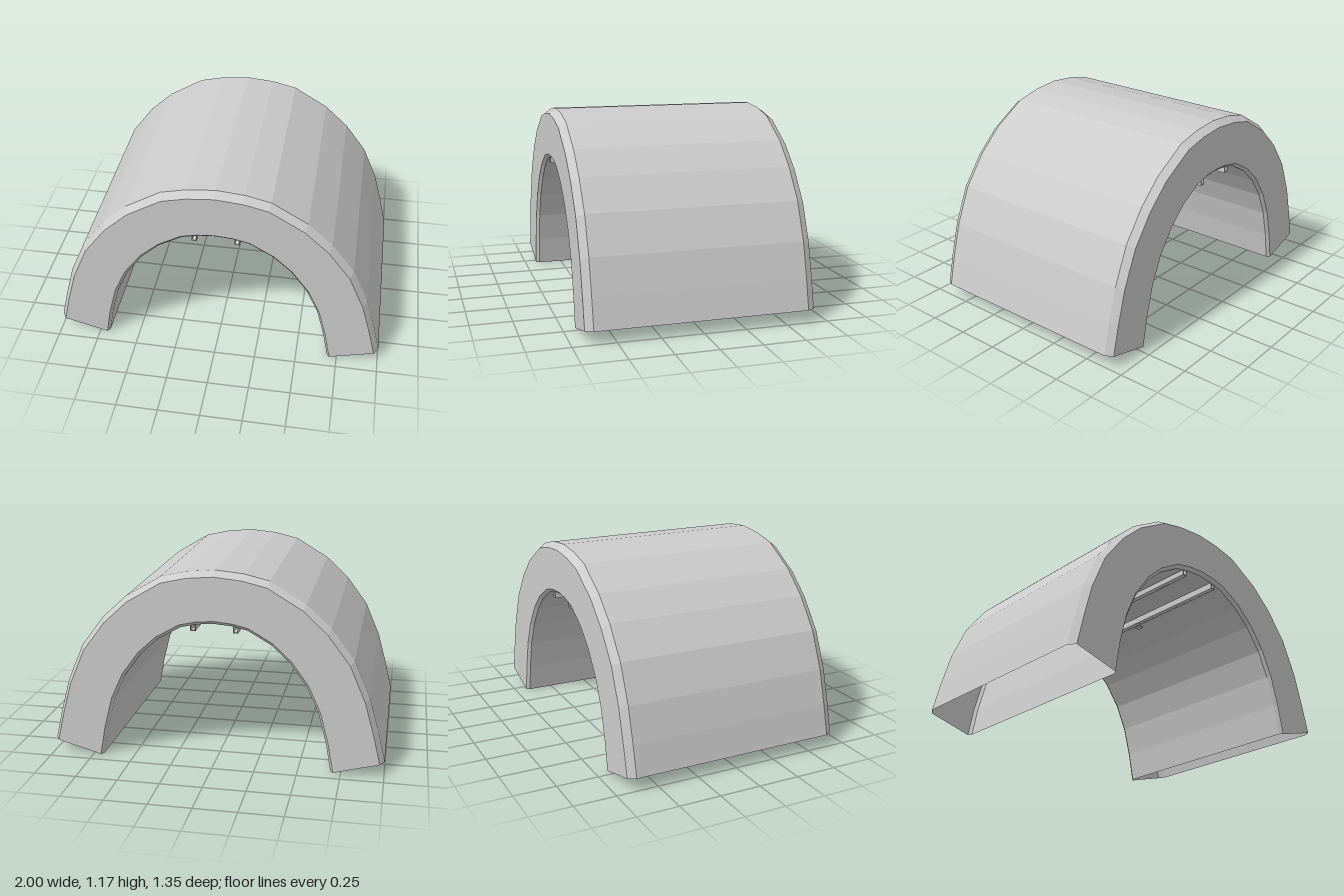
import * as THREE from 'three';

const material = new THREE.MeshStandardMaterial({ color: 0xcccccc, flatShading: true, side: THREE.DoubleSide });

// Half profiles from crown to foot, mirrored to a full arch
const mirror = (half) => [...half.slice().reverse(), ...half.slice(1).map(([x, y]) => [-x, y])];
const outer = mirror([[0, 1.17], [0.165, 1.155], [0.315, 1.12], [0.525, 0.995], [0.67, 0.86],
  [0.805, 0.68], [0.9, 0.46], [0.957, 0.255], [1, 0.075]]);
const inner = mirror([[0, 0.86], [0.1, 0.852], [0.197, 0.83], [0.335, 0.75], [0.44, 0.653],
  [0.54, 0.515], [0.61, 0.36], [0.657, 0.18], [0.69, 0]]);

// Hollow vault: one closed loop of arch sections, open at the feet
function vaultGeometry() {
  const sections = [
    [inner, 1, -0.655], [inner, 1.023, -0.675], [outer, 0.973, -0.675], [outer, 1, -0.63],
    [outer, 1, 0.63], [outer, 0.973, 0.675], [inner, 1.023, 0.675], [inner, 1, 0.655],
  ];
  const n = outer.length;
  const positions = [];
  const index = [];
  sections.forEach(([profile, scale, z], s) => {
    profile.forEach(([x, y]) => positions.push(x * scale, y * scale, z));
    const next = (s + 1) % sections.length;
    for (let i = 0; i < n - 1; i++) {
      const a = s * n + i, b = next * n + i;
      index.push(a, a + 1, b, b, a + 1, b + 1);
    }
  });
  const geometry = new THREE.BufferGeometry();
  geometry.setAttribute('position', new THREE.Float32BufferAttribute(positions, 3));
  geometry.setIndex(index);
  const flat = geometry.toNonIndexed();
  flat.computeVertexNormals();
  return flat;
}

function box(parent, name, size, position) {
  const mesh = new THREE.Mesh(new THREE.BoxGeometry(...size), material);
  mesh.name = name;
  mesh.position.set(...position);
  parent.add(mesh);
}

// Ceiling rail: two thin cheeks on a bottom plate, with a small hanger at mid length
function ceilingRail(side) {
  const rail = new THREE.Group();
  rail.name = side > 0 ? 'leftCeilingRail' : 'rightCeilingRail';
  for (const s of [-1, 1]) box(rail, 'railCheek', [0.005, 0.04, 1.31], [s * 0.013, 0.83, 0]);
  box(rail, 'railPlate', [0.031, 0.005, 1.31], [0, 0.813, 0]);
  box(rail, 'hangerStem', [0.012, 0.025, 0.012], [0, 0.799, 0]);
  box(rail, 'hangerFoot', [0.04, 0.008, 0.04], [0, 0.784, 0]);
  rail.position.x = side * 0.125;
  return rail;
}

export function createModel() {
  const model = new THREE.Group();
  model.name = 'archedTunnel';
  const vault = new THREE.Mesh(vaultGeometry(), material);
  vault.name = 'vaultShell';
  model.add(vault);
  for (const side of [1, -1]) model.add(ceilingRail(side));
  return model;
}
